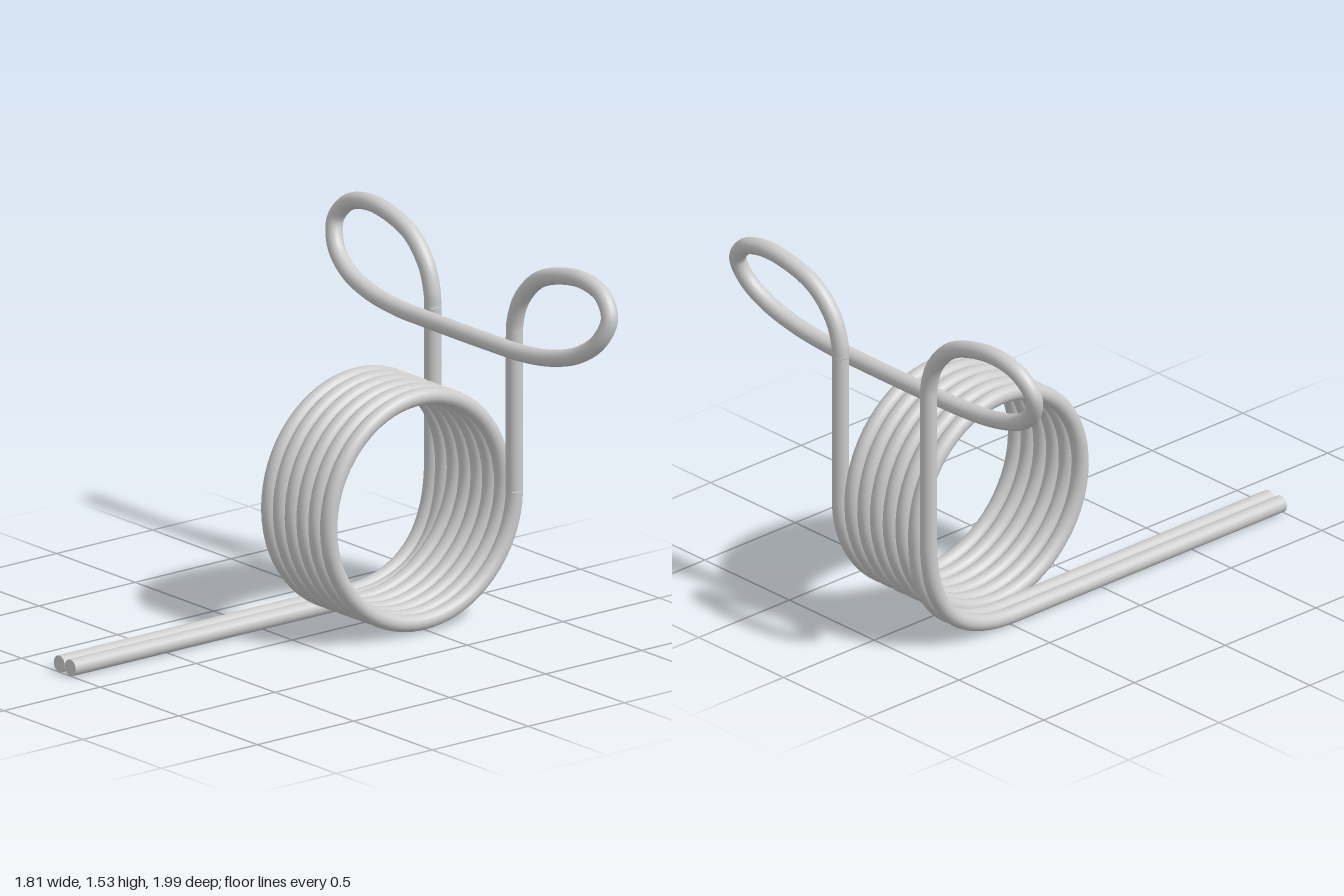
import * as THREE from 'three';

const WIRE = 0.035;              // wire radius
const CY = 0.51, CZ = -0.475;    // coil axis height and depth
const R = 0.468;                 // coil centreline radius
const BACK = CZ - R;             // depth of the upright wires
const LEFT_X = -0.26, INNER_X = -0.19, RIGHT_X = 0.26, TURNS = 6;

const V = (x, y, z) => new THREE.Vector3(x, y, z);
const material = new THREE.MeshStandardMaterial({ color: 0xcccccc });

// Helix that starts and ends at the back of the coil, going over the top first
class Helix extends THREE.Curve {
  getPoint(t, target = new THREE.Vector3()) {
    const a = t * TURNS * Math.PI * 2;
    return target.set(
      INNER_X + (RIGHT_X - INNER_X) * t,
      CY + R * Math.sin(a),
      CZ - R * Math.cos(a)
    );
  }
}

function tube(name, curve, segments) {
  const mesh = new THREE.Mesh(new THREE.TubeGeometry(curve, segments, WIRE, 20, false), material);
  mesh.name = name;
  return mesh;
}

// Straight leg on the ground that bends up to the back of the coil, with a flat end
function makeLeg(name, x) {
  const group = new THREE.Group();
  group.name = name;
  const y = WIRE;
  const bend = new THREE.QuadraticBezierCurve3(V(x, y, CZ), V(x, y, BACK), V(x, CY, BACK));
  group.add(tube(name + 'Straight', new THREE.LineCurve3(V(x, y, 1), V(x, y, CZ)), 1));
  group.add(tube(name + 'Bend', bend, 32));
  const cap = new THREE.Mesh(new THREE.CircleGeometry(WIRE, 20), material);
  cap.name = name + 'End';
  cap.position.set(x, y, 1);
  group.add(cap);
  return group;
}

export function createModel() {
  const model = new THREE.Group();
  model.name = 'torsionSpring';

  model.add(makeLeg('outerLeg', LEFT_X), makeLeg('innerLeg', INNER_X));
  model.add(tube('coil', new Helix(), TURNS * 64));

  // Uprights behind the coil
  const topY = 1.16;
  for (const [name, x] of [['rightUpright', LEFT_X], ['leftUpright', RIGHT_X]]) {
    model.add(tube(name, new THREE.LineCurve3(V(x, CY, BACK), V(x, topY, BACK)), 1));
  }

  // Handle: one loop, mirrored, joined by the cross bar leaning forward
  const loop = [
    [0.26, topY, BACK], [0.263, 1.215, BACK], [0.3, 1.32, -0.945], [0.4, 1.425, -0.949],
    [0.54, 1.478, -0.953], [0.69, 1.493, -0.955], [0.81, 1.46, -0.952], [0.872, 1.38, -0.937],
    [0.84, 1.285, -0.912], [0.74, 1.207, -0.89], [0.58, 1.156, -0.876],
    [0.4, 1.134, -0.87], [0.22, 1.13, -0.87],
  ];
  const points = [
    ...loop.map(([x, y, z]) => V(-x, y, z)),
    ...loop.slice().reverse().map(([x, y, z]) => V(x, y, z)),
  ];
  model.add(tube('handle', new THREE.CatmullRomCurve3(points), 240));

  return model;
}
